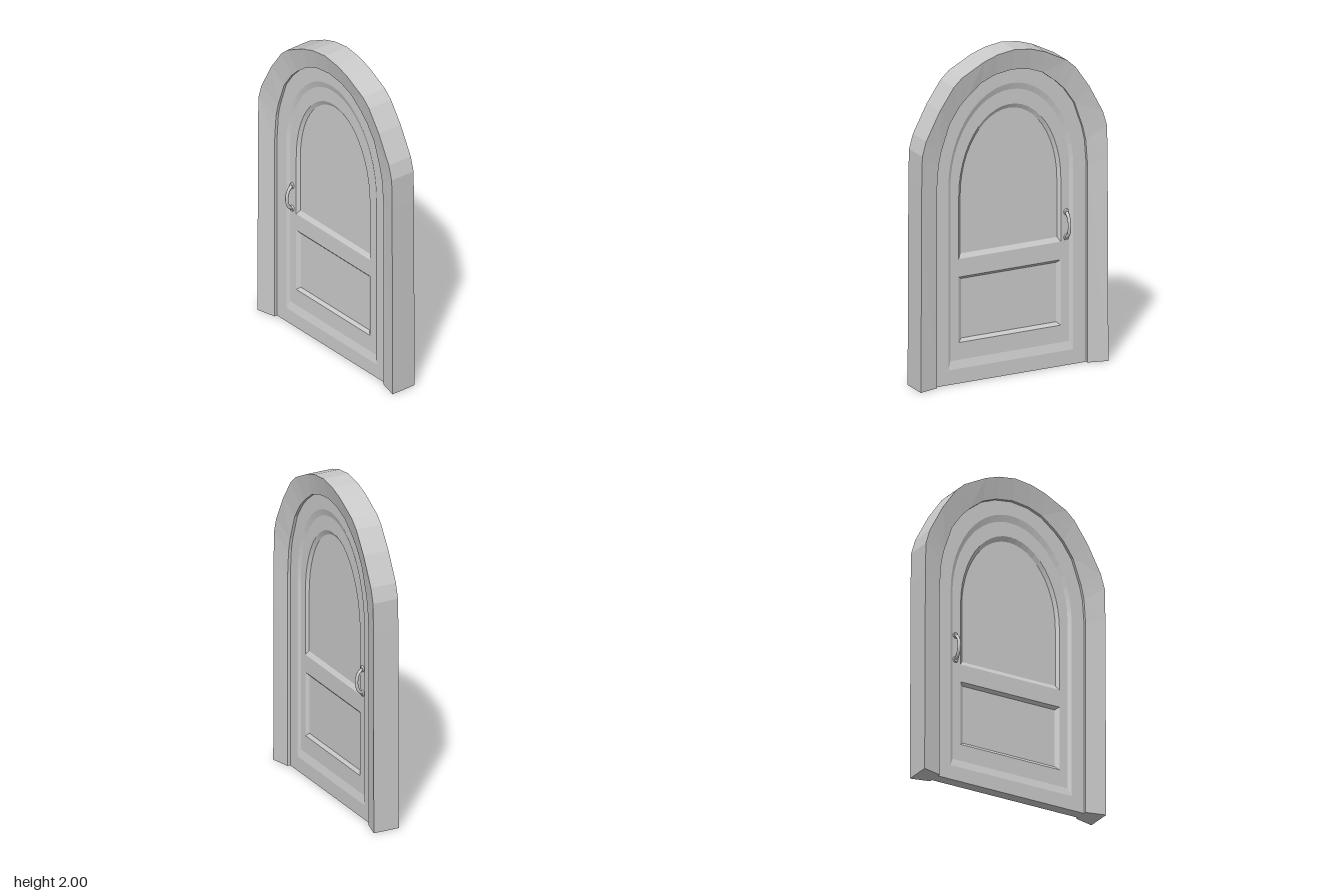
import * as THREE from 'three';
import { mergeGeometries } from 'three/addons/utils/BufferGeometryUtils.js';

const flat = new THREE.MeshStandardMaterial({ color: 0xcccccc, flatShading: true });
const smooth = new THREE.MeshStandardMaterial({ color: 0xcccccc });

function add(parent, name, geometry, material = flat) {
  const mesh = new THREE.Mesh(geometry, material);
  mesh.name = name;
  parent.add(mesh);
  return mesh;
}

// Right half of an outline, from the foot to the crown, mirrored to a full one
const mirrored = half => [...half, ...half.slice(0, -1).reverse().map(([x, y]) => [-x, y])];

// Straight-sided outline with a half-elliptical head
function arch(w, bottom, spring, top, n = 24) {
  const pts = [[w, bottom]];
  for (let i = 0; i <= n; i++) {
    const t = Math.PI * i / n;
    pts.push([w * Math.cos(t), spring + (top - spring) * Math.sin(t)]);
  }
  pts.push([-w, bottom]);
  return pts;
}

const rect = (w, y0, y1) => [[w, y0], [w, y1], [-w, y1], [-w, y0]];
const at = (pts, z) => pts.map(([x, y]) => [x, y, z]);

// Band of quads between two paths with equal point counts
function strip(a, b, closed = false) {
  const pos = [];
  const n = a.length;
  for (let i = 0; i < (closed ? n : n - 1); i++) {
    const j = (i + 1) % n;
    pos.push(...a[i], ...a[j], ...b[j], ...a[i], ...b[j], ...b[i]);
  }
  const g = new THREE.BufferGeometry();
  g.setAttribute('position', new THREE.Float32BufferAttribute(pos, 3));
  g.computeVertexNormals();
  return g;
}

// Flat face with optional openings
function face(outline, z, holes = []) {
  const vec = pts => pts.map(p => new THREE.Vector2(...p));
  const s = new THREE.Shape(vec(outline));
  for (const h of holes) s.holes.push(new THREE.Path(vec(h)));
  const g = new THREE.ShapeGeometry(s).toNonIndexed();
  g.deleteAttribute('uv');
  return g.translate(0, 0, z);
}

const outer = mirrored([[0.615, 0], [0.61, 1.25], [0.606, 1.44], [0.58, 1.53], [0.49, 1.7],
  [0.4, 1.83], [0.345, 1.88], [0.2, 1.955], [0.11, 1.985], [0, 2]]);
const inner = mirrored([[0.495, 0], [0.495, 1.2], [0.483, 1.36], [0.465, 1.44], [0.41, 1.6],
  [0.345, 1.695], [0.29, 1.75], [0.2, 1.82], [0.11, 1.855], [0, 1.87]]);

// Arched surround whose faces slope back toward the opening
function frameGeometry() {
  const ring = [at(outer, 0.082), at(inner, 0.052), at(inner, -0.052), at(outer, -0.082)];
  const parts = ring.map((r, i) => strip(r, ring[(i + 1) % 4]));
  const [o, i, ib, ob] = ring;
  const e = o.length - 1;
  parts.push(strip([o[0], i[0]], [ob[0], ib[0]]), strip([i[e], o[e]], [ib[e], ob[e]]));
  return mergeGeometries(parts);
}

// Front skin of the door: rim, sunken field and two sunken panels
const RIM = 0.034, FIELD = 0.022, PANEL = 0.006;
function addDoorFace(parent) {
  const fieldOuter = arch(0.41, 0.09, 1.2, 1.78);
  const fieldInner = arch(0.39, 0.14, 1.2, 1.74);
  const panels = [
    { name: 'upperPanel', out: arch(0.335, 0.755, 1.14, 1.65), in: arch(0.317, 0.782, 1.14, 1.622) },
    { name: 'lowerPanel', out: rect(0.335, 0.245, 0.645), in: rect(0.312, 0.265, 0.628) },
  ];
  add(parent, 'doorRim', face(inner, RIM, [fieldOuter]));
  add(parent, 'doorField', mergeGeometries([
    strip(at(fieldOuter, RIM), at(fieldInner, FIELD), true),
    face(fieldInner, FIELD, panels.map(p => p.out)),
  ]));
  for (const p of panels) {
    add(parent, p.name, mergeGeometries([
      strip(at(p.out, FIELD), at(p.in, PANEL), true),
      face(p.in, PANEL),
    ]));
  }
}

// Bowed pull with a small plate at each end
function handle() {
  const g = new THREE.Group();
  g.name = 'handle';
  const path = new THREE.CatmullRomCurve3([[-0.075, 0.005], [-0.055, 0.028], [0, 0.042], [0.055, 0.028], [0.075, 0.005]]
    .map(([y, z]) => new THREE.Vector3(0, y, z)));
  add(g, 'grip', new THREE.TubeGeometry(path, 20, 0.01, 8), smooth);
  for (const s of [-1, 1]) {
    const plate = add(g, 'handlePlate', new THREE.CylinderGeometry(0.014, 0.017, 0.012, 12));
    plate.rotation.x = Math.PI / 2;
    plate.scale.z = 1.2;
    plate.position.set(0, s * 0.077, 0.004);
  }
  return g;
}

export function createModel() {
  const model = new THREE.Group();
  model.name = 'archedDoor';
  add(model, 'frame', frameGeometry());

  // Door edge and underside
  add(model, 'doorEdge', strip(at(inner, -RIM), at(inner, RIM), true));

  // Same face on front and back, with handles back to back
  for (const side of ['front', 'back']) {
    const g = new THREE.Group();
    g.name = side + 'Side';
    addDoorFace(g);
    const h = handle();
    h.position.set(side === 'front' ? -0.37 : 0.37, 0.855, FIELD);
    g.add(h);
    if (side === 'back') g.rotation.y = Math.PI;
    model.add(g);
  }
  return model;
}
